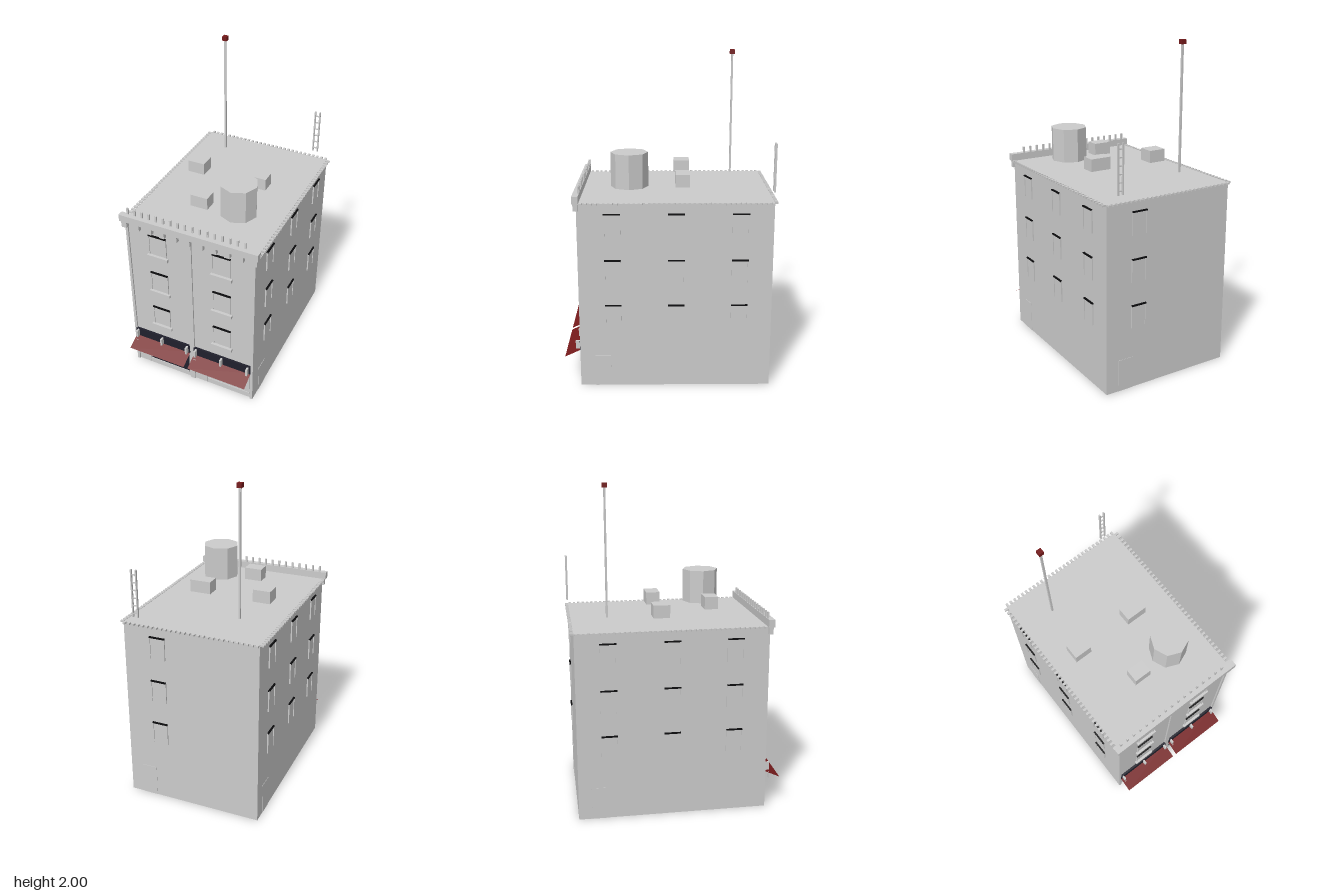
import * as THREE from 'three';

const mat = (name, color) => {
  const m = new THREE.MeshStandardMaterial({ color, side: THREE.DoubleSide });
  m.name = name;
  return m;
};

export function createModel() {
  const model = new THREE.Group();
  const stone = mat('paleGrey', 0xcbcbcb);
  const navy = mat('darkNavy', 0x20202c);
  const black = mat('black', 0x0b0b0d);
  const red = mat('deepRed', 0x751a1b);

  const add = (name, geo, m, parent = model) => {
    const mesh = new THREE.Mesh(geo, m);
    mesh.name = name;
    parent.add(mesh);
    return mesh;
  };
  // box from its lower and upper limits on each axis
  const box = (name, m, x0, x1, y0, y1, z0, z1, parent = model) => {
    const mesh = add(name, new THREE.BoxGeometry(x1 - x0, y1 - y0, z1 - z0), m, parent);
    mesh.position.set((x0 + x1) / 2, (y0 + y1) / 2, (z0 + z1) / 2);
    return mesh;
  };
  const group = (name) => {
    const g = new THREE.Group();
    g.name = name;
    model.add(g);
    return g;
  };

  const W = 0.427, FRONT = 0.532, BACK = -0.62, TOP = 1.165;

  // Walls and roof, open underneath
  const body = box('wallsAndRoof', stone, -W, W, 0, TOP, BACK, FRONT);
  const index = Array.from(body.geometry.index.array);
  index.splice(18, 6);
  body.geometry.setIndex(index);
  body.geometry.clearGroups();

  // Window facing +z: pane, jambs, dark head, optional sill
  const makeWindow = (width, sill) => {
    const g = new THREE.Group();
    const h = width / 2;
    g.name = 'window';
    box('windowPane', stone, -h, h, 0, 0.14, -0.002, 0.003, g);
    for (const s of [-1, 1]) {
      const x = s * (h - 0.003);
      box('windowJamb', stone, x - 0.003, x + 0.003, 0, 0.14, 0, 0.008, g);
    }
    box('windowHead', black, -h, h, 0.134, 0.142, 0, 0.01, g);
    if (sill) box('windowSill', stone, -0.07, 0.07, -0.026, -0.005, 0, 0.018, g);
    return g;
  };
  const windows = group('windows');
  const place = (x, y, z, turn, width, sill) => {
    const w = makeWindow(width, sill);
    w.position.set(x, y, z);
    w.rotation.y = turn;
    windows.add(w);
  };
  for (const y of [0.39, 0.675, 0.96]) {
    for (const x of [-0.215, 0.21]) place(x, y, FRONT, 0, 0.12, true);
    for (const z of [0.335, -0.045, -0.425]) {
      place(W, y, z, Math.PI / 2, 0.1, false);
      place(-W, y, z, -Math.PI / 2, 0.1, false);
    }
    place(0.21, y, BACK, Math.PI, 0.1, false);
  }

  // Plain doors on the sides and back
  box('rightDoor', stone, W, W + 0.002, 0, 0.2, 0.355, 0.45);
  box('leftDoor', stone, -W - 0.002, -W, 0, 0.2, -0.54, -0.445);
  box('backDoor', stone, 0.25, 0.345, 0, 0.2, BACK - 0.002, BACK);

  // Pilasters dividing the front
  for (const [a, b] of [[-W, -0.41], [-0.02, 0.015], [0.41, W]])
    box('pilaster', stone, a, b, 0, TOP, FRONT, 0.542);

  // Cornice with brackets and railing posts
  box('cornice', stone, -0.453, 0.45, TOP, 1.21, 0.527, 0.565);
  const trim = group('corniceTrim');
  for (let i = 0; i < 11; i++) {
    const x = -0.425 + i * 0.085;
    box('corniceBracket', stone, x - 0.017, x + 0.017, 1.15, TOP, FRONT, 0.56, trim);
    box('corniceBracket', stone, x - 0.017, x + 0.017, 1.12, 1.15, FRONT, 0.558, trim);
  }
  for (let i = 0; i < 17; i++) {
    const x = -0.408 + i * 0.048;
    box('railingPost', stone, x - 0.006, x + 0.006, 1.21, 1.25, 0.527, 0.537, trim);
  }

  // Small teeth along the eaves
  const teeth = group('eaveTeeth');
  for (let i = 0; i < 39; i++) {
    const z = -0.608 + i * 0.0295;
    for (const s of [-1, 1])
      box('eaveTooth', stone, s * 0.4385 - 0.0115, s * 0.4385 + 0.0115, 1.157, 1.168, z - 0.0075, z + 0.0075, teeth);
  }
  for (let i = 0; i < 29; i++) {
    const x = -0.416 + i * 0.0297;
    box('eaveTooth', stone, x - 0.0075, x + 0.0075, 1.157, 1.168, -0.64, BACK, teeth);
  }

  // Two shopfronts
  const shop = (x0, x1, doorX0, doorX1, glassX0, glassX1, glass) => {
    const g = group('shopfront');
    box('signBoard', navy, x0, x1, 0.228, 0.288, FRONT, 0.546, g);
    for (const x of [x0 + 0.018, (x0 + x1) / 2, x1 - 0.018])
      box('signBracket', stone, x - 0.006, x + 0.006, 0.232, 0.284, 0.54, 0.572, g);
    box('shopWindow', glass, glassX0, glassX1, 0.05, 0.2, FRONT, 0.537, g);
    box('shopWindowLedge', stone, glassX0, glassX1, 0.04, 0.05, FRONT, 0.542, g);
    box('shopDoor', stone, doorX0, doorX1, 0.005, 0.2, FRONT, 0.536, g);
    const c = (doorX0 + doorX1) / 2;
    box('letterSlot', black, c - 0.029, c + 0.029, 0.089, 0.099, 0.535, 0.54, g);
    box('awningHanger', stone, x0 + 0.012, x0 + 0.026, 0.178, 0.215, 0.57, 0.576, g);
    // sloping sheet
    const sheet = add('awning', new THREE.PlaneGeometry(x1 - x0, Math.hypot(0.1, 0.046)), red, g);
    sheet.position.set((x0 + x1) / 2, 0.208, 0.588);
    sheet.rotation.x = -Math.atan2(0.1, 0.046);
  };
  shop(-0.415, -0.016, -0.405, -0.325, -0.315, -0.03, navy);
  shop(0.012, 0.412, 0.018, 0.1, 0.108, 0.405, stone);

  // Rooftop tank, units, mast and ladder
  const tank = add('waterTank', new THREE.CylinderGeometry(0.114, 0.114, 0.21, 8).toNonIndexed(), stone);
  tank.geometry.computeVertexNormals();
  tank.position.set(0.18, 1.315, 0.236);
  for (const [x0, x1, z0, z1] of [
    [-0.305, -0.193, -0.14, -0.04], [0.094, 0.23, -0.13, -0.043], [-0.112, 0, 0.21, 0.295],
  ]) box('roofUnit', stone, x0, x1, 1.21, 1.288, z0, z1);
  box('mast', stone, -0.226, -0.214, 1.21, 1.975, -0.416, -0.404);
  box('mastLamp', red, -0.235, -0.205, 1.973, 2, -0.425, -0.395);

  const ladder = group('ladder');
  for (const x of [0.324, 0.355])
    box('ladderRail', stone, x - 0.004, x + 0.004, 1.21, 1.5, -0.632, -0.62, ladder);
  for (let i = 0; i < 6; i++)
    box('ladderRung', stone, 0.324, 0.355, 1.23 + i * 0.047, 1.237 + i * 0.047, -0.629, -0.623, ladder);

  return model;
}
